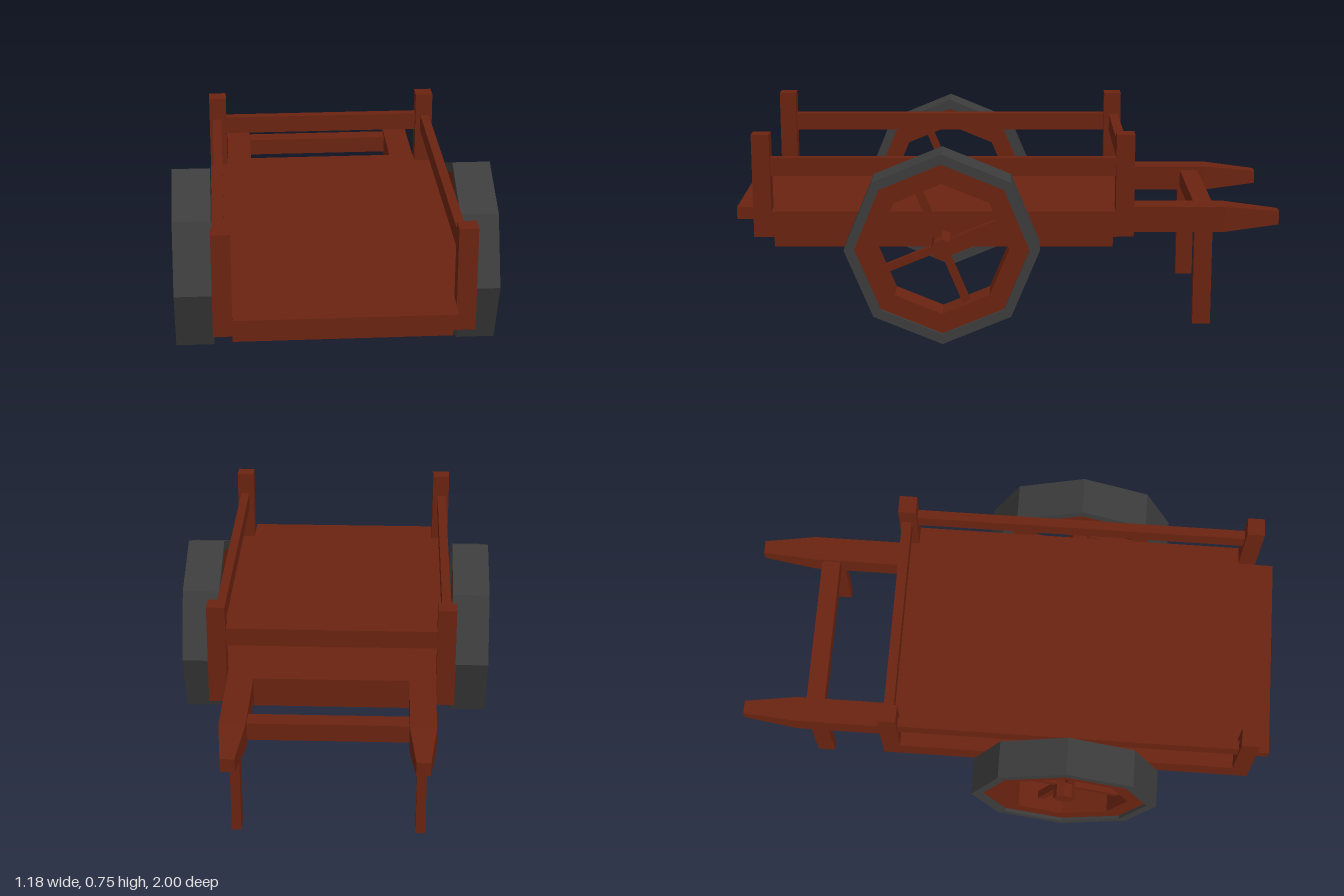
import * as THREE from 'three';

const wood = new THREE.MeshStandardMaterial({ color: 0x6a2310 });
wood.name = 'redWood';
const rubber = new THREE.MeshStandardMaterial({ color: 0x3c3c3c });
rubber.name = 'darkRubber';

export function createModel() {
  const cart = new THREE.Group();
  cart.name = 'handCart';

  const add = (name, geometry, material = wood, parent = cart) => {
    const mesh = new THREE.Mesh(geometry, material);
    mesh.name = name;
    parent.add(mesh);
    return mesh;
  };
  // Box given by its limits on each axis
  const box = (name, x0, x1, y0, y1, z0, z1) => {
    const g = new THREE.BoxGeometry(x1 - x0, y1 - y0, z1 - z0);
    g.translate((x0 + x1) / 2, (y0 + y1) / 2, (z0 + z1) / 2);
    return add(name, g);
  };
  // The same box on both sides
  const pair = (name, x0, x1, ...rest) => {
    box(name + 'Left', x0, x1, ...rest);
    box(name + 'Right', -x1, -x0, ...rest);
  };

  // Bed
  box('bedFrame', -0.383, 0.383, 0.365, 0.415, -0.455, 0.93);
  box('bedFloor', -0.383, 0.383, 0.415, 0.46, -0.455, 1);
  box('underside', -0.383, 0.383, 0.31, 0.365, -0.385, 0.865);
  pair('sideBeam', 0.383, 0.45, 0.365, 0.46, -0.39, 0.865);

  // Posts and rails
  pair('frontPost', 0.383, 0.45, 0.365, 0.745, 0.865, 0.93);
  pair('backPost', 0.383, 0.45, 0.365, 0.745, -0.457, -0.39);
  pair('sideRail', 0.403, 0.437, 0.59, 0.657, -0.39, 0.865);
  box('backRail', -0.383, 0.383, 0.59, 0.657, -0.447, -0.41);

  // Handles, with the last section narrowed to a blunt tip
  for (const side of [1, -1]) {
    const g = new THREE.BoxGeometry(0.095, 0.095, 0.545, 1, 1, 2);
    const p = g.attributes.position;
    for (let i = 0; i < p.count; i++) {
      const z = p.getZ(i);
      const tip = z < -0.2;
      if (tip) p.setXY(i, p.getX(i) * 0.53, p.getY(i) * 0.53);
      p.setZ(i, tip ? -1 : z > 0.2 ? -0.455 : -0.8);
    }
    g.translate(side * 0.333, 0.4125, 0);
    const flat = g.toNonIndexed();
    flat.computeVertexNormals();
    add(side > 0 ? 'handleLeft' : 'handleRight', flat);
  }
  box('handleBar', -0.286, 0.286, 0.38, 0.445, -0.765, -0.695);
  pair('leg', 0.315, 0.35, 0, 0.365, -0.757, -0.69);

  // Eight-sided ring around the x axis, centred on its width
  const octagon = (path, r) => {
    for (let i = 0; i < 8; i++) {
      const a = (i * Math.PI) / 4;
      path[i ? 'lineTo' : 'moveTo'](r * Math.cos(a), r * Math.sin(a));
    }
    path.closePath();
    return path;
  };
  const ring = (outer, inner, width) => {
    const shape = octagon(new THREE.Shape(), outer);
    shape.holes.push(octagon(new THREE.Path(), inner));
    const g = new THREE.ExtrudeGeometry(shape, { depth: width, bevelEnabled: false });
    return g.translate(0, 0, -width / 2).rotateY(Math.PI / 2);
  };

  // Wheels
  for (const side of [1, -1]) {
    const wheel = new THREE.Group();
    wheel.name = side > 0 ? 'wheelLeft' : 'wheelRight';
    wheel.position.set(side * 0.52, 0.352, 0.24);
    add('tyre', ring(0.352, 0.315, 0.14), rubber, wheel);
    add('rim', ring(0.316, 0.242, 0.115), wood, wheel);
    const hub = new THREE.CylinderGeometry(0.04, 0.04, 0.15, 8).toNonIndexed();
    hub.computeVertexNormals();
    add('hub', hub.rotateZ(Math.PI / 2).translate(-side * 0.01, 0, 0), wood, wheel);
    for (let i = 0; i < 2; i++) {
      const spoke = add('spokePair', new THREE.BoxGeometry(0.028, 0.46, 0.028), wood, wheel);
      spoke.rotation.x = Math.PI / 8 + (i * Math.PI) / 2;
    }
    cart.add(wheel);
  }

  return cart;
}
